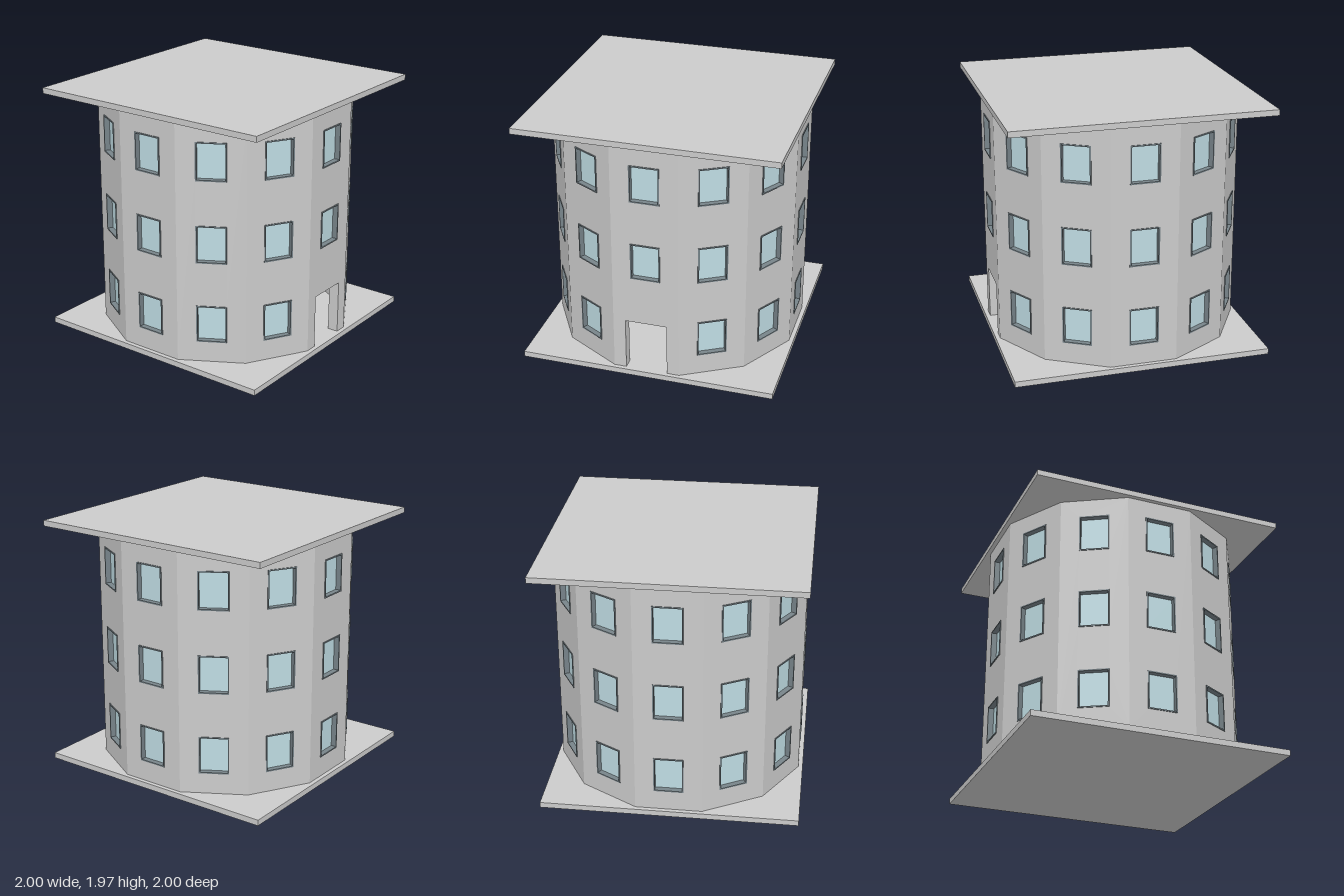
import * as THREE from 'three';

const SIDES = 12;
const RADIUS = 1.0;
const APOTHEM = RADIUS * Math.cos(Math.PI / SIDES);
const HALF = RADIUS * Math.sin(Math.PI / SIDES);
const THICK = 0.085;
const SLAB = 0.045;
const WALL_TOP = 1.925;
const FLOORS = [0.355, 0.995, 1.635];
const WIN_W = 0.23, WIN_H = 0.295, BAR = 0.01, LIP = 0.006;
const DOOR_HALF = 0.163, DOOR_TOP = 0.465;

const wallMat = new THREE.MeshStandardMaterial({ color: 0xcccccc });
const frameMat = new THREE.MeshStandardMaterial({ color: 0x78848a });
const glassMat = new THREE.MeshStandardMaterial({ color: 0xbfdce3 });

function addMesh(parent, name, geometry, material) {
  const mesh = new THREE.Mesh(geometry, material);
  mesh.name = name;
  parent.add(mesh);
  return mesh;
}

// Counter-clockwise rectangle outline centred on (0, cy)
function rectPoints(w, h, cy = 0) {
  return [[-w / 2, cy - h / 2], [w / 2, cy - h / 2], [w / 2, cy + h / 2], [-w / 2, cy + h / 2]]
    .map(([x, y]) => new THREE.Vector2(x, y));
}

// One wall panel with window openings, mitred at its ends to meet its neighbours
function wallGeometry(windowHeights, hasDoor) {
  const outline = hasDoor
    ? [[-HALF, SLAB], [-DOOR_HALF, SLAB], [-DOOR_HALF, DOOR_TOP], [DOOR_HALF, DOOR_TOP],
      [DOOR_HALF, SLAB], [HALF, SLAB], [HALF, WALL_TOP], [-HALF, WALL_TOP]]
    : [[-HALF, SLAB], [HALF, SLAB], [HALF, WALL_TOP], [-HALF, WALL_TOP]];
  const shape = new THREE.Shape(outline.map(([x, y]) => new THREE.Vector2(x, y)));
  for (const y of windowHeights) {
    shape.holes.push(new THREE.Path(rectPoints(WIN_W, WIN_H, y).reverse()));
  }
  const geometry = new THREE.ExtrudeGeometry(shape, { depth: THICK, bevelEnabled: false });
  geometry.translate(0, 0, APOTHEM - THICK);
  const pos = geometry.attributes.position;
  const innerScale = (APOTHEM - THICK) / APOTHEM;
  for (let i = 0; i < pos.count; i++) {
    const x = pos.getX(i);
    if (Math.abs(x) > HALF - 0.001 && pos.getZ(i) < APOTHEM - THICK / 2) pos.setX(i, x * innerScale);
  }
  geometry.computeVertexNormals();
  return geometry;
}

// Frame lining the full depth of the wall
function frameGeometry() {
  const shape = new THREE.Shape(rectPoints(WIN_W, WIN_H));
  shape.holes.push(new THREE.Path(rectPoints(WIN_W - 2 * BAR, WIN_H - 2 * BAR).reverse()));
  const depth = THICK + 2 * LIP;
  return new THREE.ExtrudeGeometry(shape, { depth, bevelEnabled: false }).translate(0, 0, -depth / 2);
}

export function createModel() {
  const model = new THREE.Group();
  model.name = 'building';

  // Square base and roof slabs
  const slab = new THREE.BoxGeometry(2, SLAB, 2);
  addMesh(model, 'baseSlab', slab, wallMat).position.y = SLAB / 2;
  addMesh(model, 'roofSlab', slab, wallMat).position.y = WALL_TOP + SLAB / 2;

  const plainWall = wallGeometry(FLOORS, false);
  const doorWall = wallGeometry(FLOORS.slice(1), true);
  const frame = frameGeometry();
  const pane = new THREE.BoxGeometry(WIN_W - 2 * BAR, WIN_H - 2 * BAR, 0.01);

  // Ring of wall panels, the front one with an open doorway
  for (let i = 0; i < SIDES; i++) {
    const side = new THREE.Group();
    side.name = i === 0 ? 'frontSide' : 'side' + i;
    side.rotation.y = (i * 2 * Math.PI) / SIDES;
    model.add(side);
    addMesh(side, 'wall', i === 0 ? doorWall : plainWall, wallMat);

    for (const y of i === 0 ? FLOORS.slice(1) : FLOORS) {
      const win = new THREE.Group();
      win.name = 'window';
      win.position.set(0, y, APOTHEM - THICK / 2);
      side.add(win);
      addMesh(win, 'windowFrame', frame, frameMat);
      addMesh(win, 'windowPane', pane, glassMat);
    }
  }
  return model;
}
